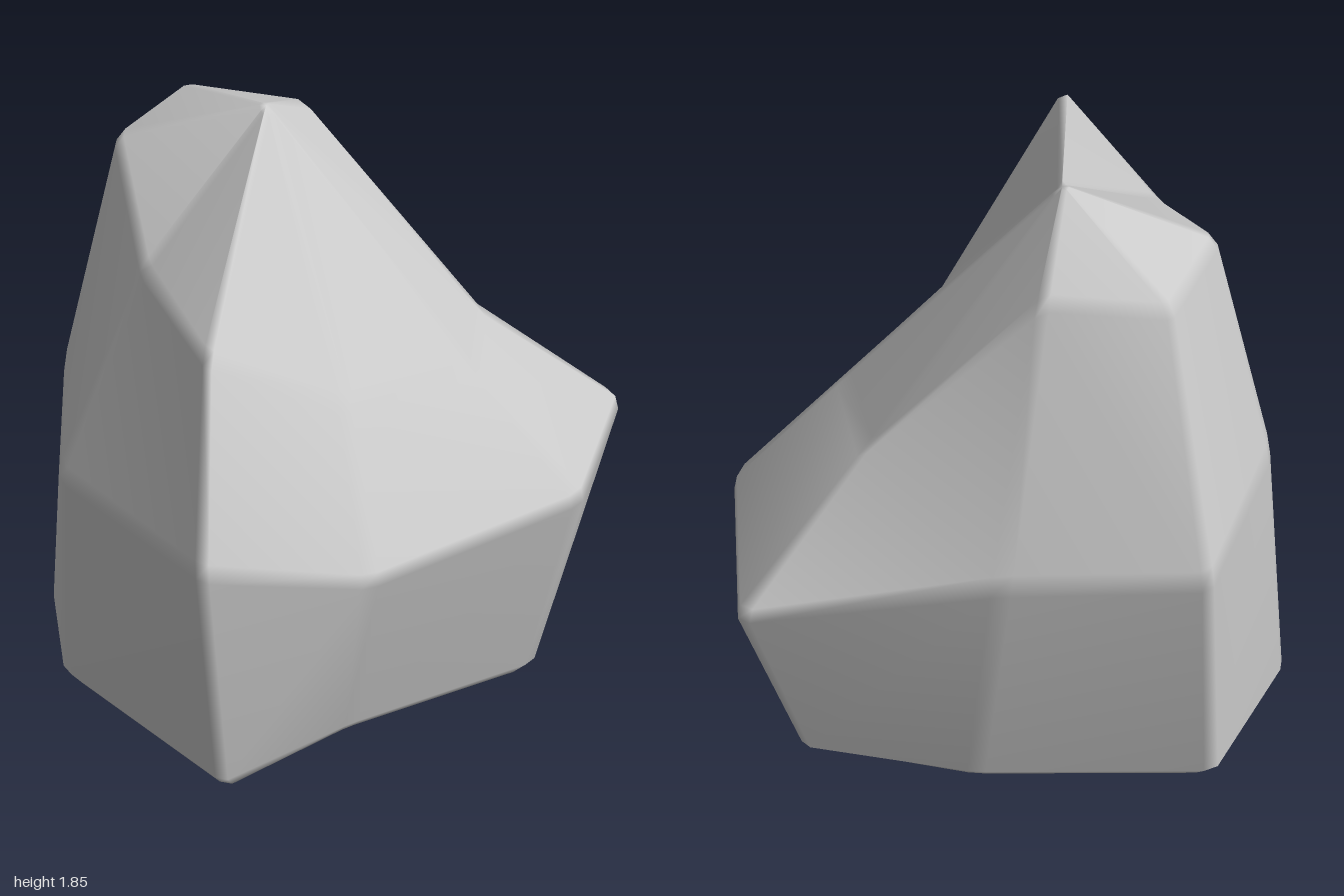
import * as THREE from 'three';

// Control rings, bottom to top. Each runs front, front-right side (+x), right
// side, back corner, back, other back corner, other side, other front side.
const BOTTOM = [
  [0.03, 0, 0.83], [0.28, 0, 0.3], [0.7, 0, -0.27], [0.57, 0, -0.85],
  [0.03, 0, -0.935], [-0.72, 0, -0.84], [-0.87, 0, -0.27], [-0.68, 0, 0.22],
];
const WAIST = [
  [0.02, 0.86, 1.033], [0.41, 0.63, 0.5], [0.873, 0.63, -0.27], [0.775, 0.62, -1.005],
  [-0.07, 0.81, -1.003], [-0.73, 0.89, -1.007], [-0.83, 0.88, -0.27], [-0.62, 0.86, 0.48],
];
const SHOULDER = [
  [-0.05, 1.47, 0.76], [0.24, 1.09, 0.22], [0.53, 1.03, -0.26], [0.41, 1.04, -0.65],
  [-0.16, 1.69, -0.65], [-0.56, 1.69, -0.65], [-0.66, 1.69, -0.26], [-0.42, 1.47, 0.21],
];
const SIDES = 8;
const BEVEL = 0.045;
const FOLDED_LEVEL = 2; // waist-to-shoulder facets fold along the other diagonal
const ring = (x, y, z) => Array(SIDES).fill([x, y, z]);
const RINGS = [ring(0, 0, -0.1), BOTTOM, WAIST, SHOULDER, ring(-0.17, 1.858, -0.27)];

// Point on the patch between two rings and two columns
function patchPoint(level, side, v, u) {
  const next = (side + 1) % SIDES;
  const at = (r, c) => new THREE.Vector3(...RINGS[r][c]);
  const low = at(level, side).lerp(at(level, next), u);
  const high = at(level + 1, side).lerp(at(level + 1, next), u);
  return low.lerp(high, v);
}

// Sampling just inside every patch border leaves a narrow bevel along each edge
function boulderGeometry() {
  const positions = [];
  const indices = [];
  const columns = SIDES * 2;
  const rows = (RINGS.length - 1) * 2;
  for (let r = 0; r < rows; r++) {
    const level = Math.floor(r / 2);
    const v = r % 2 ? 1 - BEVEL : BEVEL;
    for (let c = 0; c < columns; c++) {
      const u = c % 2 ? 1 - BEVEL : BEVEL;
      positions.push(...patchPoint(level, Math.floor(c / 2), v, u).toArray());
    }
  }
  for (let r = 0; r < rows - 1; r++) {
    for (let c = 0; c < columns; c++) {
      const n = (c + 1) % columns;
      const a = r * columns + c, b = r * columns + n;
      const d = a + columns, e = b + columns;
      if (r === FOLDED_LEVEL * 2) indices.push(a, b, d, b, e, d);
      else indices.push(a, b, e, a, e, d);
    }
  }
  // Close the underside and the blunt peak
  const base = positions.length / 3;
  positions.push(0, 0, -0.1, -0.17, 1.85, -0.27);
  for (let c = 0; c < columns; c++) {
    const n = (c + 1) % columns;
    const top = (rows - 1) * columns;
    indices.push(base, n, c, base + 1, top + c, top + n);
  }
  const geometry = new THREE.BufferGeometry();
  geometry.setAttribute('position', new THREE.Float32BufferAttribute(positions, 3));
  geometry.setIndex(indices);
  geometry.computeVertexNormals();
  return geometry;
}

export function createModel() {
  const group = new THREE.Group();
  group.name = 'rock';
  const boulder = new THREE.Mesh(
    boulderGeometry(),
    new THREE.MeshStandardMaterial({ color: 0xcccccc }),
  );
  boulder.name = 'boulder';
  group.add(boulder);
  return group;
}
